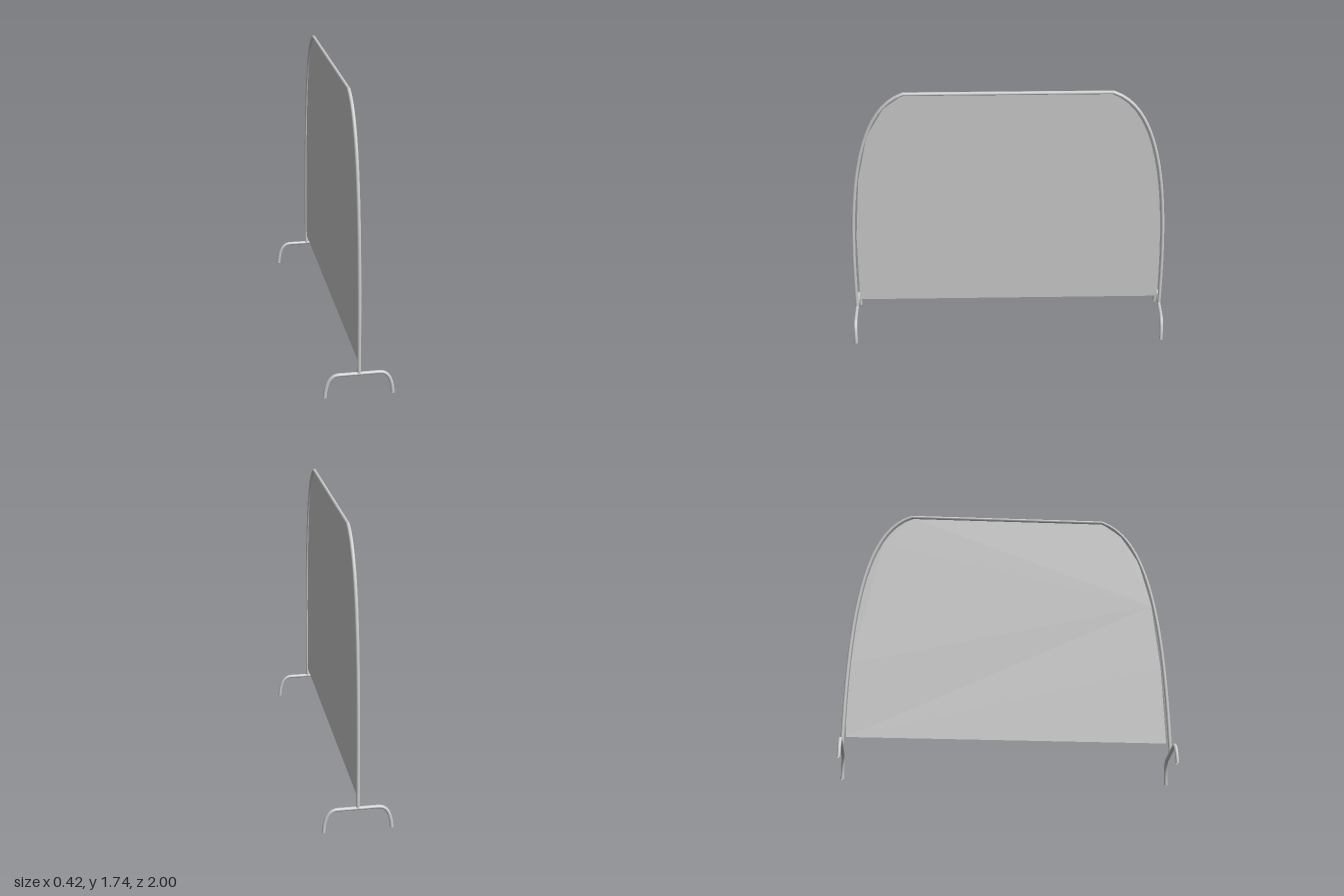
import * as THREE from 'three';

const R = 0.011;
const v = (x, y, z) => new THREE.Vector3(x, y, z);

export function createModel() {
  const group = new THREE.Group();
  const grey = new THREE.MeshStandardMaterial({ color: 0xcccccc, side: THREE.DoubleSide });
  const add = (name, geometry) => {
    const mesh = new THREE.Mesh(geometry, grey);
    mesh.name = name;
    group.add(mesh);
    return mesh;
  };

  // Curved side of the frame, bottom to top, as (z, y)
  const side = (s) => new THREE.CubicBezierCurve3(
    v(0, 0.14, s * 0.989), v(0, 0.9, s * 0.989), v(0, 1.61, s * 0.945), v(0, 1.728, s * 0.62));

  for (const s of [1, -1]) {
    add(s > 0 ? 'frontUpright' : 'backUpright', new THREE.TubeGeometry(side(s), 32, R, 10));

    // Arched foot: a straight bar with a bend down at each end
    const foot = new THREE.CurvePath();
    const z = s * 0.989;
    foot.add(new THREE.CubicBezierCurve3(v(-0.2, 0, z), v(-0.195, 0.09, z), v(-0.17, 0.14, z), v(-0.12, 0.14, z)));
    foot.add(new THREE.LineCurve3(v(-0.12, 0.14, z), v(0.12, 0.14, z)));
    foot.add(new THREE.CubicBezierCurve3(v(0.12, 0.14, z), v(0.17, 0.14, z), v(0.195, 0.09, z), v(0.2, 0, z)));
    add(s > 0 ? 'frontFoot' : 'backFoot', new THREE.TubeGeometry(foot, 40, R, 10));
  }

  // Straight top rail
  const rail = add('topRail', new THREE.CylinderGeometry(R, R, 1.245, 10));
  rail.rotation.x = Math.PI / 2;
  rail.position.y = 1.728;

  // Thin panel hung inside the frame, slightly looser along the front edge
  const front = [[0.966, 0.2], [0.957, 0.7], [0.919, 1.13], [0.85, 1.44], [0.74, 1.63], [0.62, 1.722]];
  const back = side(-1).getPoints(16).filter((p) => p.y > 0.25)
    .map((p) => [p.z + 0.016, p.y - 0.008]).reverse();
  const outline = [...front, ...back, [-0.966, 0.2]].map(([z, y]) => new THREE.Vector2(-z, y));
  const panel = add('panel', new THREE.ShapeGeometry(new THREE.Shape(outline)));
  panel.rotation.y = Math.PI / 2;

  return group;
}
